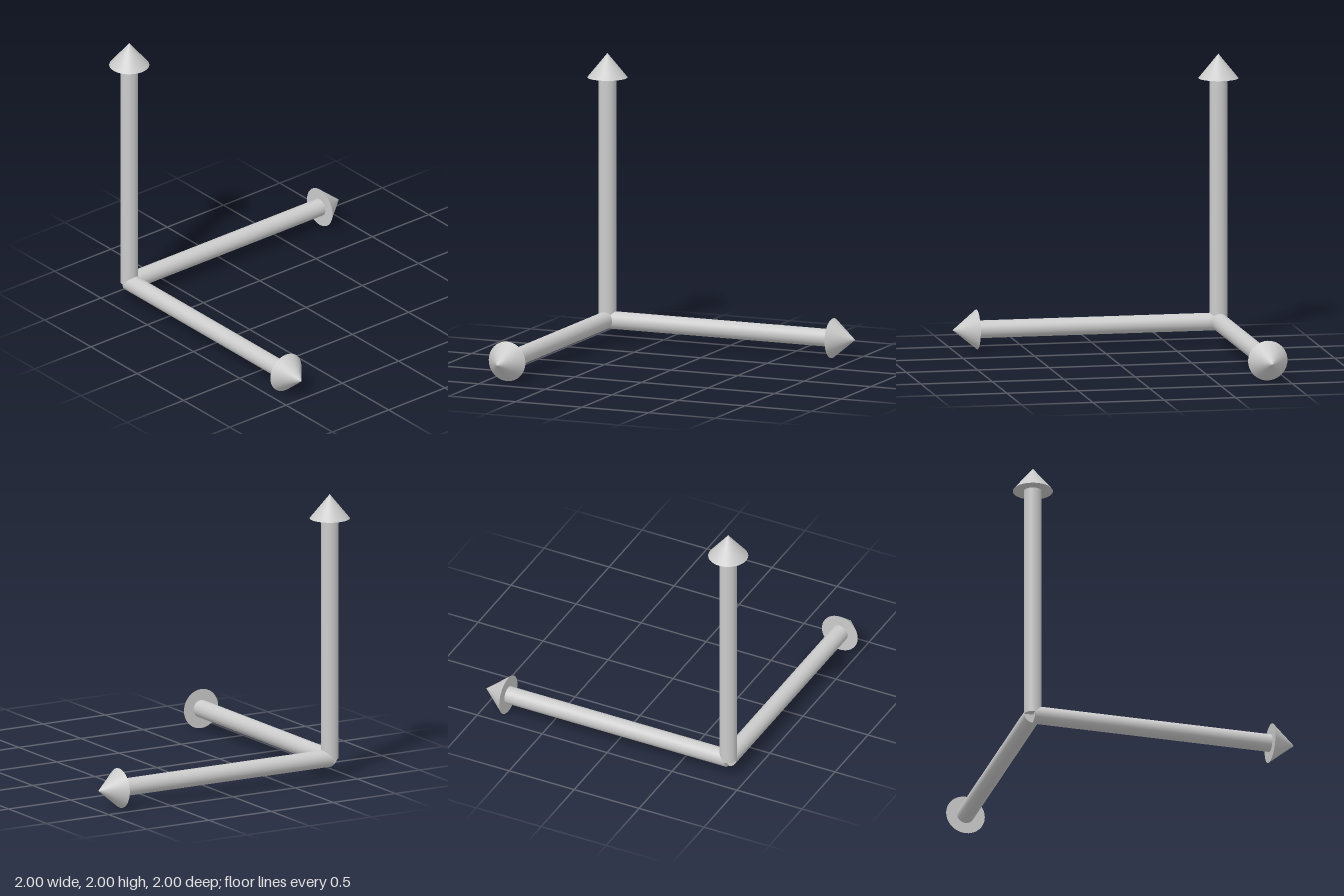
import * as THREE from 'three';

const SHAFT_RADIUS = 0.061, SHAFT_LENGTH = 1.692;
const HEAD_RADIUS = 0.138, HEAD_LENGTH = 0.17;

// One arrow growing along +y from its own origin
function makeArrow(name, material) {
  const arrow = new THREE.Group();
  arrow.name = name;

  const shaft = new THREE.Mesh(
    new THREE.CylinderGeometry(SHAFT_RADIUS, SHAFT_RADIUS, SHAFT_LENGTH, 40), material);
  shaft.name = 'shaft';
  shaft.position.y = SHAFT_LENGTH / 2;

  const head = new THREE.Mesh(
    new THREE.ConeGeometry(HEAD_RADIUS, HEAD_LENGTH, 40), material);
  head.name = 'arrowHead';
  head.position.y = SHAFT_LENGTH + HEAD_LENGTH / 2;

  arrow.add(shaft, head);
  return arrow;
}

export function createModel() {
  const model = new THREE.Group();
  model.name = 'axisArrows';
  const material = new THREE.MeshStandardMaterial({ color: 0xcccccc });

  // Three perpendicular arrows sharing one corner
  const up = makeArrow('upArrow', material);
  const side = makeArrow('sideArrow', material);
  side.rotation.z = -Math.PI / 2;
  const back = makeArrow('backArrow', material);
  back.rotation.x = -Math.PI / 2;

  for (const arrow of [up, side, back]) {
    arrow.position.set(HEAD_RADIUS - 1, HEAD_RADIUS, 1 - HEAD_RADIUS);
    model.add(arrow);
  }
  return model;
}
